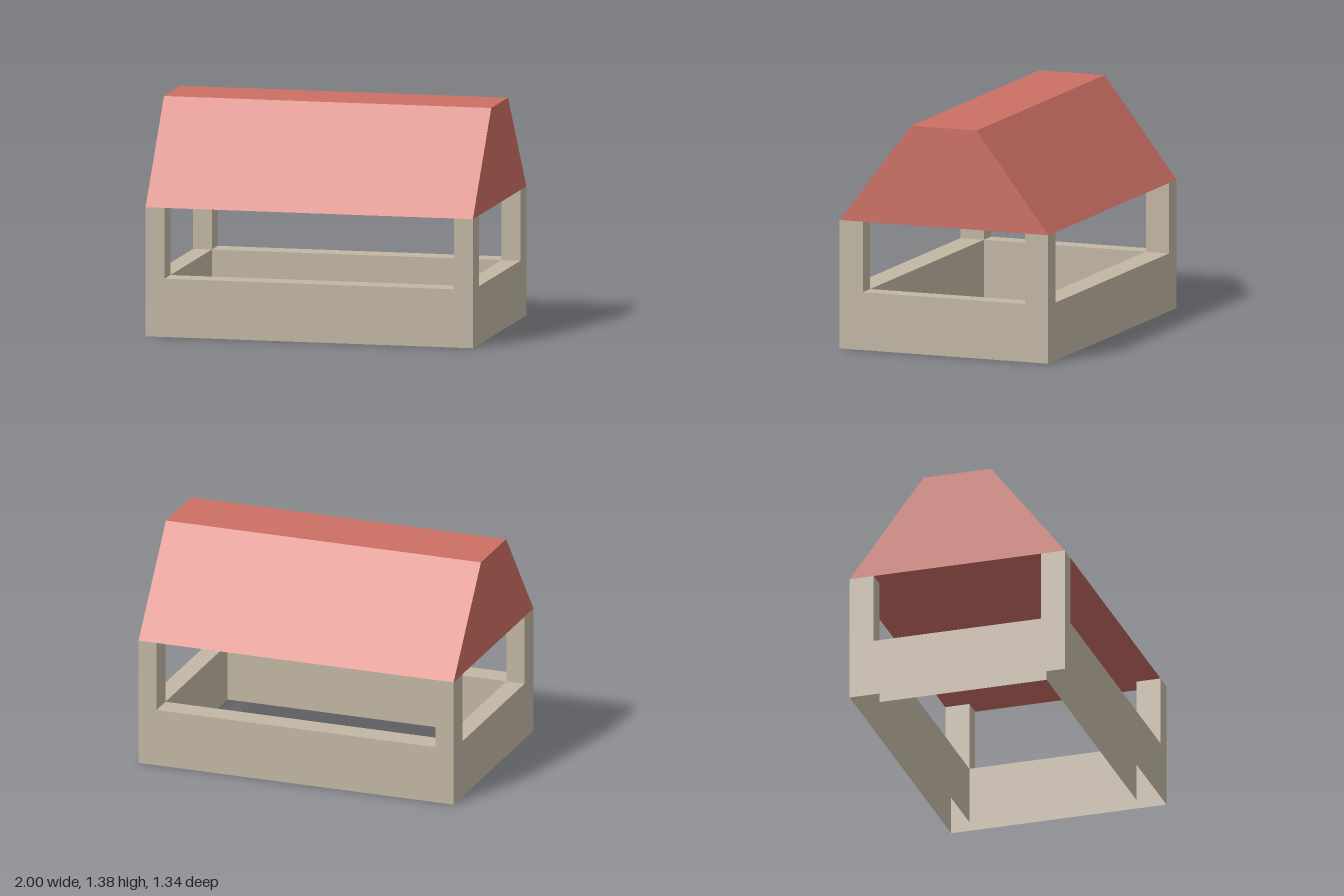
import * as THREE from 'three';

const HALF_X = 1, HALF_Z = 0.67;      // outer half sizes
const POST_X = 0.115, POST_Z = 0.15;  // corner post footprint
const SILL = 0.35, EAVES = 0.775, RIDGE = 1.375, RIDGE_HALF = 0.21;

const wallMat = new THREE.MeshStandardMaterial({ color: 0xc2b6a3, side: THREE.DoubleSide });
const roofMat = new THREE.MeshStandardMaterial({ color: 0xcc6f64 });

function add(group, name, geometry, material) {
  const mesh = new THREE.Mesh(geometry, material);
  mesh.name = name;
  group.add(mesh);
  return mesh;
}

// One side facing +z: half width h, distance d from centre, thickness t, post width j
function createSide(name, h, d, t, j) {
  const side = new THREE.Group();
  side.name = name;
  const inner = h - j;

  // Outer U-shaped face: low wall with a post at each end
  const outline = [
    [-h, 0], [h, 0], [h, EAVES], [inner, EAVES],
    [inner, SILL], [-inner, SILL], [-inner, EAVES], [-h, EAVES],
  ].map(([x, y]) => new THREE.Vector2(x, y));
  add(side, 'outerFace', new THREE.ShapeGeometry(new THREE.Shape(outline)).translate(0, 0, d), wallMat);

  // Inner face of the low wall, open underneath
  add(side, 'innerFace', new THREE.PlaneGeometry(2 * inner, SILL)
    .rotateY(Math.PI).translate(0, SILL / 2, d - t), wallMat);

  // Sill on top of the low wall
  add(side, 'sill', new THREE.PlaneGeometry(2 * inner, t)
    .rotateX(-Math.PI / 2).translate(0, SILL, d - t / 2), wallMat);

  // Post faces lining the opening
  for (const s of [-1, 1]) {
    add(side, s > 0 ? 'leftPostFace' : 'rightPostFace', new THREE.PlaneGeometry(t, EAVES - SILL)
      .rotateY(-s * Math.PI / 2).translate(s * inner, (SILL + EAVES) / 2, d - t / 2), wallMat);
  }
  return side;
}

export function createModel() {
  const model = new THREE.Group();
  model.name = 'openShelter';

  // Four sides around the centre
  const names = ['frontSide', 'leftSide', 'backSide', 'rightSide'];
  names.forEach((name, i) => {
    const side = i % 2 === 0
      ? createSide(name, HALF_X, HALF_Z, POST_Z, POST_X)
      : createSide(name, HALF_Z, HALF_X, POST_X, POST_Z);
    side.rotation.y = i * Math.PI / 2;
    model.add(side);
  });

  // Solid roof with a flat top and straight gable ends
  const profile = new THREE.Shape([
    [-HALF_Z, EAVES], [HALF_Z, EAVES], [RIDGE_HALF, RIDGE], [-RIDGE_HALF, RIDGE],
  ].map(([x, y]) => new THREE.Vector2(x, y)));
  const roof = new THREE.ExtrudeGeometry(profile, { depth: 2 * HALF_X, bevelEnabled: false })
    .translate(0, 0, -HALF_X).rotateY(Math.PI / 2);
  add(model, 'roof', roof, roofMat);

  return model;
}
